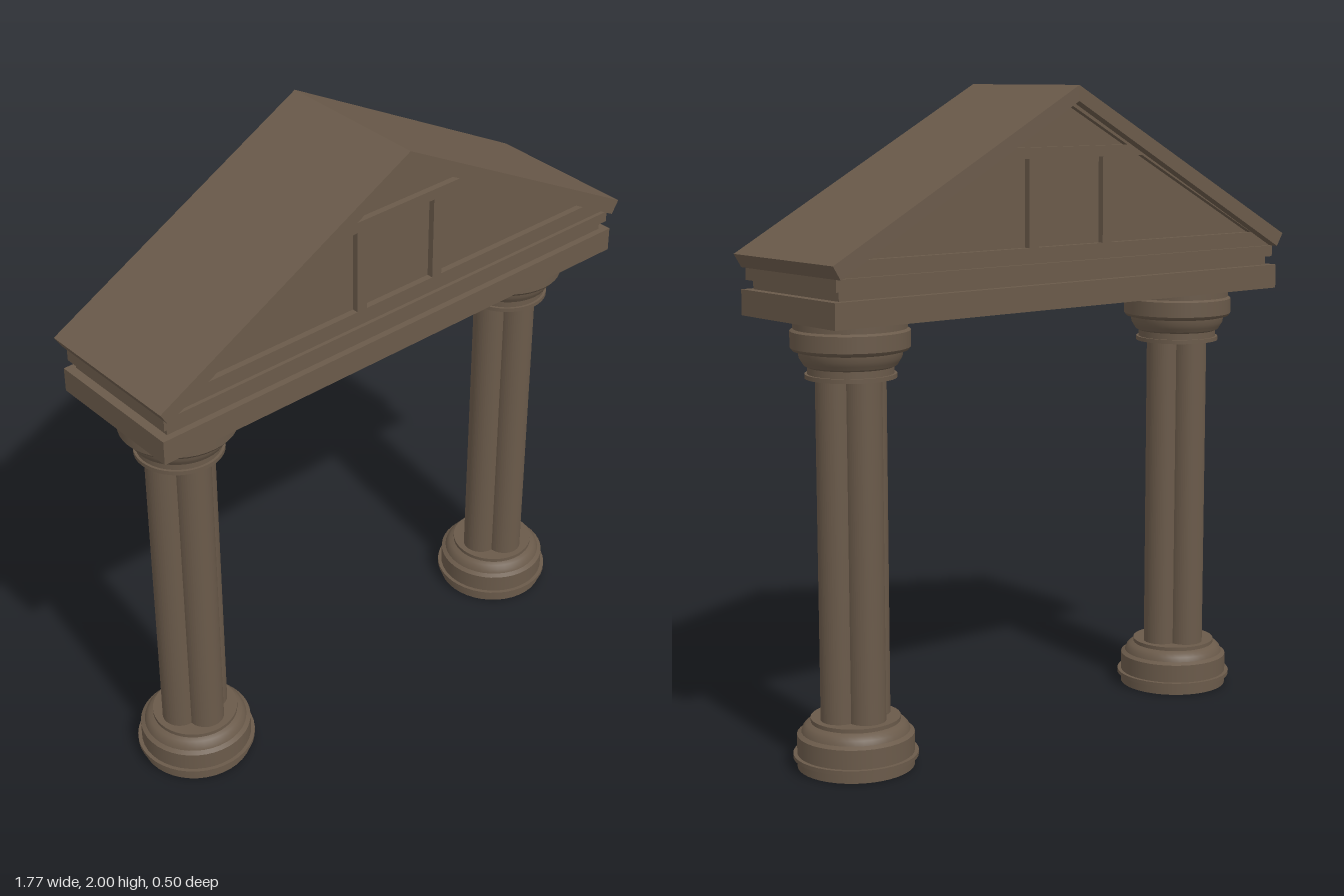
import * as THREE from 'three';

const stone = new THREE.MeshStandardMaterial({ color: 0x6a5a4a });
stone.name = 'brown stone';

function add(parent, geometry, name, x = 0, y = 0, z = 0) {
  const mesh = new THREE.Mesh(geometry, stone);
  mesh.name = name;
  mesh.position.set(x, y, z);
  parent.add(mesh);
  return mesh;
}

const polygon = (points) => new THREE.Shape(points.map(([x, y]) => new THREE.Vector2(x, y)));

// Extrusion centred on z = 0
function slab(shape, depth) {
  const g = new THREE.ExtrudeGeometry(shape, { depth, bevelEnabled: false, curveSegments: 14 });
  return g.translate(0, 0, -depth / 2);
}

// Turned moulding: each stretch of the profile is lathed on its own, so steps stay crisp
function turned(parent, name, stretches) {
  const group = new THREE.Group();
  group.name = name;
  parent.add(group);
  stretches.forEach((pts, i) => {
    add(group, new THREE.LatheGeometry(pts.map(([r, y]) => new THREE.Vector2(r, y)), 40), name + 'Ring' + (i + 1));
  });
}

// Splits a polyline into single straight stretches
const straight = (pts) => pts.slice(1).map((p, i) => [pts[i], p]);

function makeColumn(name, x) {
  const column = new THREE.Group();
  column.name = name;
  column.position.x = x;

  // Shaft made of four half-round lobes
  const r = 0.057;
  const lobes = new THREE.Shape();
  lobes.moveTo(r, -r);
  lobes.absarc(r, 0, r, -Math.PI / 2, Math.PI / 2, false);
  lobes.absarc(0, r, r, 0, Math.PI, false);
  lobes.absarc(-r, 0, r, Math.PI / 2, Math.PI * 1.5, false);
  lobes.absarc(0, -r, r, Math.PI, Math.PI * 2, false);
  const shaft = slab(lobes, 1.06);
  shaft.rotateX(-Math.PI / 2);
  add(column, shaft, 'shaft', 0, 0.66, 0);

  turned(column, 'base', [
    ...straight([[0, 0], [0.175, 0], [0.175, 0.03], [0.187, 0.03], [0.187, 0.042], [0.175, 0.042], [0.175, 0.1], [0.162, 0.108]]),
    [[0.162, 0.108], [0.157, 0.122], [0.147, 0.132], [0.134, 0.138]],
    ...straight([[0.134, 0.138], [0.134, 0.15], [0, 0.15]]),
  ]);
  turned(column, 'capital', [
    ...straight([[0, 1.167], [0.134, 1.167], [0.134, 1.18], [0.126, 1.18], [0.126, 1.2], [0.136, 1.205], [0.142, 1.215]]),
    [[0.142, 1.215], [0.15, 1.228], [0.152, 1.245]],
    [[0.152, 1.245], [0.168, 1.249], [0.175, 1.258]],
    ...straight([[0.175, 1.258], [0.175, 1.306], [0.166, 1.312], [0.166, 1.342], [0, 1.342]]),
  ]);
  return column;
}

export function createModel() {
  const model = new THREE.Group();
  model.name = 'columnedGateway';

  model.add(makeColumn('rightColumn', -0.657), makeColumn('leftColumn', 0.657));

  // Stepped beam across the columns
  [['lintel', 0.873, 1.342, 1.418, 0.236],
    ['recessedBand', 0.845, 1.418, 1.445, 0.215],
    ['cornice', 0.862, 1.445, 1.48, 0.228]].forEach(([name, hx, y0, y1, hz]) => {
    add(model, new THREE.BoxGeometry(hx * 2, y1 - y0, hz * 2), name, 0, (y0 + y1) / 2, 0);
  });

  // Gabled roof with square-cut eaves
  add(model, slab(polygon([
    [0, 2], [-0.887, 1.52], [-0.862, 1.48], [0, 1.953], [0.862, 1.48], [0.887, 1.52],
  ]), 0.5), 'roof');

  // Sunken gable wall
  const under = (x) => 1.953 - 0.5487 * Math.abs(x);
  const at = (y) => (1.953 - y) / 0.5487;
  add(model, slab(polygon([[-0.862, 1.48], [0.862, 1.48], [0, 1.953]]), 0.392), 'gableWall');

  // Raised framing around the panels, on both faces
  const low = 1.527, high = 1.787, top = 1.82;
  const bars = {
    bottomRail: [[-0.862, 1.48], [0.862, 1.48], [at(low), low], [-at(low), low]],
    topRail: [[-at(high), high], [at(high), high], [at(top), top], [-at(top), top]],
    rightPost: [[-0.163, low], [-0.127, low], [-0.127, high], [-0.163, high]],
    leftPost: [[0.127, low], [0.163, low], [0.163, high], [0.127, high]],
    rightRake: [[-0.862, 1.48], [0, under(0) - 0.012], [0, under(0)]],
    leftRake: [[0.862, 1.48], [0, under(0)], [0, under(0) - 0.012]],
  };
  for (const [name, pts] of Object.entries(bars)) {
    for (const [face, z] of [['front', 0.205], ['back', -0.205]]) {
      add(model, slab(polygon(pts), 0.022), face + name[0].toUpperCase() + name.slice(1), 0, 0, z);
    }
  }
  return model;
}
